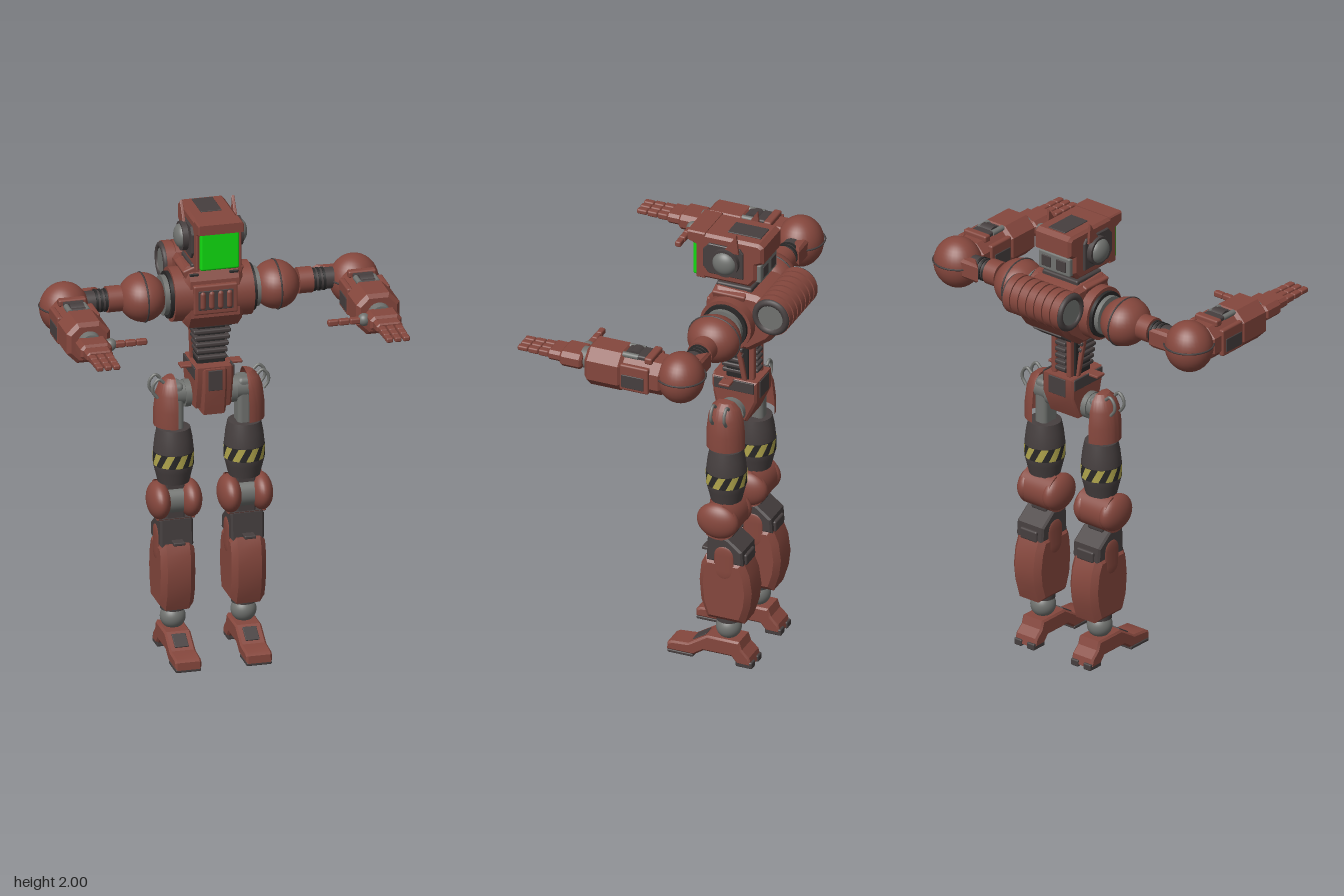
import * as THREE from 'three';
import { RoundedBoxGeometry } from 'three/addons/geometries/RoundedBoxGeometry.js';
import { toCreasedNormals } from 'three/addons/utils/BufferGeometryUtils.js';

const PI = Math.PI;
const paint = (name, color) => {
  const m = new THREE.MeshStandardMaterial({ color, side: THREE.DoubleSide });
  m.name = name;
  return m;
};
const red = paint('rust red', 0x85473d);
const dark = paint('dark brown grey', 0x463f3f);
const black = paint('near black', 0x292828);
const steel = paint('steel grey', 0x70726f);
const yellow = paint('hazard yellow', 0xb0a54c);
const green = paint('visor green', 0x10dc10);

function add(parent, name, geo, mat, pos = [0, 0, 0], rot = [0, 0, 0], scale = [1, 1, 1]) {
  const m = new THREE.Mesh(geo, mat);
  m.name = name;
  m.position.set(...pos);
  m.rotation.set(...rot);
  m.scale.set(...scale);
  parent.add(m);
  return m;
}
const box = (w, h, d, r = 0.008) => new RoundedBoxGeometry(w, h, d, 2, Math.min(r, w / 3, h / 3, d / 3));
const ball = r => new THREE.SphereGeometry(r, 32, 20);
const cyl = (a, b, h) => new THREE.CylinderGeometry(a, b, h, 32);
const alongX = (a, b, h) => cyl(a, b, h).rotateZ(PI / 2);
const alongZ = (a, b, h) => cyl(a, b, h).rotateX(PI / 2);
const lathe = (pts, start = 0, len = 2 * PI) =>
  toCreasedNormals(new THREE.LatheGeometry(pts.map(p => new THREE.Vector2(...p)), 32, start, len), 0.5);

// Extrusion with its outline kept and its edges bevelled, centred on its depth
function extrude(pts, depth, bevel) {
  const shape = new THREE.Shape(pts.map(p => new THREE.Vector2(...p)));
  const geo = new THREE.ExtrudeGeometry(shape, {
    depth: depth - 2 * bevel, bevelEnabled: bevel > 0, bevelThickness: bevel,
    bevelSize: bevel, bevelOffset: -bevel, bevelSegments: 1,
  });
  return toCreasedNormals(geo.translate(0, 0, bevel - depth / 2), 0.45);
}
// Side profile given as [z, y], extruded across x
const sideways = (pts, width, bevel = 0.01) => extrude(pts, width, bevel).rotateY(-PI / 2);
// Chamfered rectangle extruded along z
const octagon = (w, h, d, c, bevel = 0.01) => {
  const a = w / 2, b = h / 2;
  return extrude([[a - c, -b], [a, c - b], [a, b - c], [a - c, b], [c - a, b], [-a, b - c], [-a, c - b], [c - a, -b]], d, bevel);
};

function buildHead() {
  const g = new THREE.Group();
  g.name = 'head';
  add(g, 'neck', cyl(0.048, 0.055, 0.1), dark, [0, 1.74, -0.21]);
  for (let i = 0; i < 3; i++) add(g, 'neckRing', cyl(0.056, 0.056, 0.01), black, [0, 1.715 + i * 0.022, -0.21]);
  add(g, 'skull', sideways([[-0.065, 1.755], [-0.065, 1.965], [-0.34, 1.965], [-0.362, 1.95], [-0.362, 1.875],
    [-0.33, 1.86], [-0.33, 1.79], [-0.3, 1.755]], 0.194, 0.012), red);
  add(g, 'brow', sideways([[-0.02, 1.968], [-0.02, 1.925], [-0.035, 1.925], [-0.045, 1.955], [-0.1, 1.955], [-0.1, 1.968]], 0.19, 0.004), red);
  add(g, 'visor', box(0.168, 0.198, 0.03, 0.01), green, [0, 1.856, -0.054]);
  add(g, 'topPanel', box(0.09, 0.008, 0.15), dark, [0, 1.965, -0.255]);
  add(g, 'rearHousing', box(0.17, 0.085, 0.06), steel, [0, 1.82, -0.318]);
  for (const s of [1, -1]) {
    add(g, 'browSide', sideways([[-0.02, 1.965], [-0.02, 1.925], [-0.06, 1.91], [-0.06, 1.755], [-0.1, 1.755], [-0.1, 1.965]], 0.012, 0.003), red, [s * 0.091, 0, 0]);
    add(g, 'sidePanel', sideways([[-0.095, 1.82], [-0.095, 1.9], [-0.12, 1.93], [-0.26, 1.93], [-0.275, 1.91], [-0.275, 1.79], [-0.12, 1.79]], 0.014, 0.003), dark, [s * 0.1, 0, 0]);
    add(g, 'earRing', alongX(0.062, 0.062, 0.03), dark, [s * 0.115, 1.862, -0.2]);
    add(g, 'earDome', ball(0.053), steel, [s * 0.122, 1.862, -0.2], [0, 0, 0], [0.65, 1, 1]);
    add(g, 'antenna', sideways([[-0.19, 1.91], [-0.25, 2], [-0.26, 1.91]], 0.012, 0.002), red, [s * 0.111, 0, 0]);
    add(g, 'rearVent', box(0.05, 0.05, 0.008), dark, [s * 0.04, 1.82, -0.348]);
  }
  return g;
}

function buildTorso() {
  const g = new THREE.Group();
  g.name = 'torso';
  add(g, 'chest', sideways([[-0.115, 1.52], [-0.15, 1.465], [-0.31, 1.465], [-0.4, 1.53], [-0.46, 1.61],
    [-0.43, 1.69], [-0.34, 1.73], [-0.16, 1.74], [-0.125, 1.68]], 0.25, 0.02), red);
  add(g, 'shoulderBarrel', alongX(0.115, 0.115, 0.34), red, [0, 1.595, -0.225]);
  add(g, 'collar', box(0.19, 0.03, 0.16), dark, [0, 1.735, -0.23]);
  add(g, 'chestPlate', box(0.19, 0.13, 0.03), red, [0, 1.6, -0.12]);
  add(g, 'chestRecess', box(0.15, 0.085, 0.008), dark, [0, 1.6, -0.104]);
  for (let i = 0; i < 4; i++) add(g, 'chestPipe', new THREE.CapsuleGeometry(0.013, 0.055, 4, 12), red, [(i - 1.5) * 0.038, 1.6, -0.105]);
  add(g, 'rearPanel', box(0.15, 0.085, 0.008), dark, [0, 1.496, -0.358], [PI / 2 + 0.62, 0, 0]);
  for (const s of [1, -1]) {
    add(g, 'barrelEdge', alongX(0.1, 0.1, 0.02), black, [s * 0.175, 1.595, -0.225]);
    add(g, 'shoulderRing', alongX(0.085, 0.085, 0.03), steel, [s * 0.19, 1.595, -0.225]);
    add(g, 'collarBone', box(0.07, 0.06, 0.15), red, [s * 0.09, 1.705, -0.22], [0, 0, -s * 0.35]);
    add(g, 'collarVent', box(0.04, 0.03, 0.012), black, [s * 0.085, 1.695, -0.142]);
    add(g, 'backCap', new THREE.TorusGeometry(0.068, 0.015, 10, 32).rotateY(PI / 2), dark, [s * 0.146, 1.667, -0.42]);
    add(g, 'backLens', alongX(0.062, 0.062, 0.01), steel, [s * 0.148, 1.667, -0.42]);
  }
  // Ribbed drum across the back
  add(g, 'backDrum', alongX(0.078, 0.078, 0.29), red, [0, 1.667, -0.42]);
  for (let i = 0; i < 7; i++) add(g, 'drumRib', alongX(0.085, 0.085, 0.034), red, [(i - 3) * 0.043, 1.667, -0.42]);

  // Slatted waist with a jointed spine
  add(g, 'waistCore', box(0.12, 0.2, 0.1), black, [0, 1.38, -0.23]);
  for (let i = 0; i < 6; i++) {
    const w = 0.125 + i * 0.009;
    add(g, 'waistRib', box(w, 0.019, 0.1), dark, [0, 1.318 + i * 0.029, -0.212]);
    add(g, 'spineBlock', box(0.055, 0.018, 0.03), dark, [0, 1.318 + i * 0.029, -0.295]);
  }
  for (const s of [1, -1]) {
    add(g, 'waistStrut', box(0.02, 0.2, 0.022), red, [s * 0.068, 1.385, -0.25], [0.15, 0, -s * 0.08]);
    add(g, 'spineRail', box(0.025, 0.2, 0.03), red, [s * 0.04, 1.385, -0.288]);
  }

  // Pelvis
  add(g, 'pelvis', sideways([[-0.125, 1.24], [-0.16, 1.1], [-0.28, 1.1], [-0.325, 1.2], [-0.325, 1.29], [-0.125, 1.29]], 0.165), red);
  add(g, 'pelvisPlate', sideways([[-0.115, 1.285], [-0.115, 1.2], [-0.14, 1.075], [-0.24, 1.075], [-0.2, 1.285]], 0.105), red);
  add(g, 'pelvisInset', box(0.06, 0.09, 0.008), dark, [0, 1.235, -0.115]);
  add(g, 'pelvisRearPanel', box(0.09, 0.08, 0.008), dark, [0, 1.245, -0.325]);
  add(g, 'waistFlange', box(0.265, 0.012, 0.05, 0.004), red, [0, 1.284, -0.2]);
  add(g, 'hipAxle', alongX(0.04, 0.04, 0.3), dark, [0, 1.15, -0.222]);
  for (const s of [1, -1]) {
    add(g, 'pelvisSide', box(0.008, 0.05, 0.18), dark, [s * 0.083, 1.265, -0.225]);
    add(g, 'hipRing', alongX(0.058, 0.058, 0.025), steel, [s * 0.098, 1.15, -0.222]);
  }
  return g;
}

function buildArm(s) {
  const g = new THREE.Group();
  g.name = s > 0 ? 'leftArm' : 'rightArm';
  const x = s * 0.622, y = 1.585, z = -0.225;
  add(g, 'shoulder', ball(0.1), red, [s * 0.286, 1.595, z], [0, 0, 0], [1, 1.02, 1.15]);
  add(g, 'shoulderSeam', new THREE.TorusGeometry(0.1, 0.004, 6, 40), dark, [s * 0.286, 1.595, z], [0, PI / 2, 0], [1.15, 1.02, 1]);
  add(g, 'armCollar', alongX(0.055, 0.055, 0.06), red, [s * 0.41, 1.6, z]);
  add(g, 'upperArm', alongX(0.045, 0.045, 0.18), dark, [s * 0.48, 1.598, z]);
  for (let i = 0; i < 3; i++) add(g, 'armRing', alongX(0.049, 0.049, 0.01), black, [s * (0.448 + i * 0.02), 1.598, z]);
  add(g, 'elbowCuff', extrude([[0.46, -0.06], [0.56, -0.06], [0.56, 0.05], [0.51, 0]].map(p => [s * p[0], p[1]]), 0.085, 0.012), red, [0, y + 0.012, z], [PI / 2, 0, 0]);
  add(g, 'elbow', ball(0.104), red, [x, y, z + 0.005], [0, 0, 0], [1, 1.06, 0.95]);
  add(g, 'elbowSeam', new THREE.TorusGeometry(0.104, 0.004, 6, 40), dark, [x, y + 0.01, z + 0.005], [PI / 2, 0, 0]);

  // Forearm, with a recessed actuator on top
  add(g, 'forearmRear', octagon(0.165, 0.15, 0.2, 0.04), red, [x, 1.58, -0.06]);
  add(g, 'forearm', octagon(0.186, 0.178, 0.17, 0.045, 0.016), red, [x, 1.58, 0.098]);
  for (const k of [1, -1]) {
    add(g, 'forearmCheek', box(0.025, 0.12, 0.13), red, [x + k * 0.08, 1.58, -0.045]);
    add(g, 'forearmVent', box(0.008, 0.06, 0.1), dark, [x + k * 0.092, 1.565, -0.04]);
    add(g, 'actuatorPin', alongZ(0.012, 0.012, 0.07), steel, [x + k * 0.038, 1.66, -0.01]);
  }
  add(g, 'actuator', box(0.09, 0.05, 0.1), dark, [x, 1.645, -0.03]);
  add(g, 'actuatorDome', alongX(0.034, 0.034, 0.06), dark, [x, 1.645, -0.02]);
  add(g, 'rearBracket', box(0.12, 0.03, 0.035), red, [x, 1.66, -0.095]);

  // Wrist and hand
  add(g, 'wrist', alongZ(0.045, 0.05, 0.05), steel, [x, y, 0.195]);
  add(g, 'palm', octagon(0.135, 0.07, 0.1, 0.018), red, [x, y, 0.255]);
  add(g, 'knuckles', octagon(0.112, 0.045, 0.07, 0.012, 0.006), red, [x, y + 0.002, 0.325]);
  for (let i = -1; i <= 1; i++)
    for (let j = 0; j < 3; j++)
      add(g, 'finger', box(0.031 - j * 0.001, 0.028 - j * 0.003, 0.046, 0.007), red, [x + i * 0.036, y + 0.003, 0.382 + j * 0.047]);
  add(g, 'thumbJoint', ball(0.027), steel, [s * 0.545, y, 0.232]);
  for (let j = 0; j < 3; j++) add(g, 'thumb', box(0.046, 0.026, 0.03 - j * 0.002, 0.007), red, [s * (0.505 - j * 0.047), y, 0.234]);
  return g;
}

function buildLeg(s) {
  const g = new THREE.Group();
  g.name = s > 0 ? 'leftLeg' : 'rightLeg';
  const x = s * 0.152, z = -0.222;
  // Hip: outer shell, inner link and grab loops
  add(g, 'hipShell', lathe([[0.084, 1.02], [0.084, 1.09], [0.076, 1.16], [0.06, 1.205], [0.035, 1.228], [0, 1.235]], s > 0 ? 0 : PI, PI), red, [x, 0, z]);
  add(g, 'hipLink', box(0.06, 0.23, 0.09, 0.02), steel, [s * 0.145, 1.09, z]);
  add(g, 'hipKnuckle', alongX(0.05, 0.05, 0.065), steel, [s * 0.14, 1.155, z]);
  for (const dz of [0.03, -0.03]) {
    const loop = [[0.2, 1.215], [0.222, 1.232], [0.245, 1.21], [0.248, 1.18], [0.228, 1.15]];
    const curve = new THREE.CatmullRomCurve3(loop.map(p => new THREE.Vector3(s * p[0], p[1], z + dz)));
    add(g, 'hipLoop', new THREE.TubeGeometry(curve, 16, 0.007, 8), steel);
  }
  // Thigh with slanted hazard stripes
  add(g, 'thigh', lathe([[0, 0.765], [0.066, 0.765], [0.078, 0.815], [0.085, 0.842], [0.085, 0.905], [0.079, 0.96], [0.07, 1.005], [0, 1.015]]), dark, [x, 0, z]);
  add(g, 'stripeBand', new THREE.CylinderGeometry(0.0856, 0.0856, 0.058, 32, 1, true), black, [x, 0.873, z]);
  for (let i = 0; i < 9; i++) {
    const stripe = new THREE.CylinderGeometry(0.0865, 0.0865, 0.056, 5, 4, true, i * 2 * PI / 9, 0.36);
    const p = stripe.attributes.position;
    for (let k = 0; k < p.count; k++) {
      const a = Math.atan2(p.getX(k), p.getZ(k)) + p.getY(k) * 6;
      p.setX(k, 0.0865 * Math.sin(a)).setZ(k, 0.0865 * Math.cos(a));
    }
    stripe.computeVertexNormals();
    add(g, 'hazardStripe', stripe, yellow, [x, 0.873, z]);
  }
  // Knee
  add(g, 'kneeCap', new THREE.CylinderGeometry(0.087, 0.087, 0.155, 32, 1, false, 0, PI * 1.1).rotateZ(PI / 2).rotateX(-PI / 2 - 0.3), red, [x, 0.687, -0.212]);
  add(g, 'kneeAxle', alongX(0.06, 0.06, 0.17), steel, [x, 0.687, -0.215]);
  add(g, 'kneeStrut', box(0.08, 0.2, 0.08), dark, [x, 0.7, -0.225]);
  for (const k of [1, -1]) add(g, 'kneeDisc', ball(0.086), red, [x + k * 0.067, 0.687, -0.212], [0, 0, 0], [0.57, 0.93, 1.08]);

  // Shin
  add(g, 'shinTop', sideways([[-0.16, 0.49], [-0.165, 0.61], [-0.25, 0.61], [-0.32, 0.555], [-0.325, 0.49]], 0.142, 0.008), dark, [x, 0, 0]);
  add(g, 'shin', sideways([[-0.158, 0.21], [-0.13, 0.29], [-0.122, 0.38], [-0.13, 0.46], [-0.15, 0.505], [-0.32, 0.505],
    [-0.347, 0.44], [-0.358, 0.36], [-0.35, 0.29], [-0.325, 0.21]], 0.148, 0.024), red, [x, 0, 0]);
  add(g, 'shinSpur', box(0.05, 0.014, 0.06, 0.004), dark, [x, 0.515, -0.15]);
  add(g, 'shinRearBlock', box(0.09, 0.05, 0.05), dark, [x, 0.51, -0.308]);
  for (const k of [1, -1]) add(g, 'shinSidePlate', new THREE.CapsuleGeometry(0.044, 0.07, 6, 20), red, [x + k * 0.07, 0.49, -0.24], [0, 0, 0], [0.16, 1, 1]);

  // Ankle and foot
  add(g, 'ankleRing', cyl(0.052, 0.052, 0.03), dark, [x, 0.207, -0.233]);
  add(g, 'ankleBall', ball(0.054), steel, [x, 0.157, -0.233]);
  add(g, 'foot', sideways([[0.026, 0.012], [0.024, 0.045], [0.005, 0.056], [-0.07, 0.062], [-0.155, 0.116], [-0.3, 0.116],
    [-0.312, 0.08], [-0.345, 0.05], [-0.355, 0.012], [-0.29, 0.012], [-0.265, 0.042], [-0.14, 0.042], [-0.095, 0.012]], 0.112, 0.008), red, [x, 0, 0]);
  add(g, 'toeSole', box(0.108, 0.014, 0.115, 0.004), dark, [x, 0.007, -0.035]);
  add(g, 'arch', box(0.07, 0.03, 0.15), dark, [x, 0.045, -0.2]);
  for (const k of [1, -1]) add(g, 'heelClaw', box(0.04, 0.03, 0.075, 0.006), dark, [x + k * 0.034, 0.015, -0.322]);
  add(g, 'instepPlate', box(0.06, 0.008, 0.07), dark, [x, 0.09, -0.113], [0.56, 0, 0]);
  return g;
}

export function createModel() {
  const model = new THREE.Group();
  model.name = 'robot';
  model.add(buildHead(), buildTorso());
  for (const s of [1, -1]) model.add(buildArm(s), buildLeg(s));
  return model;
}
